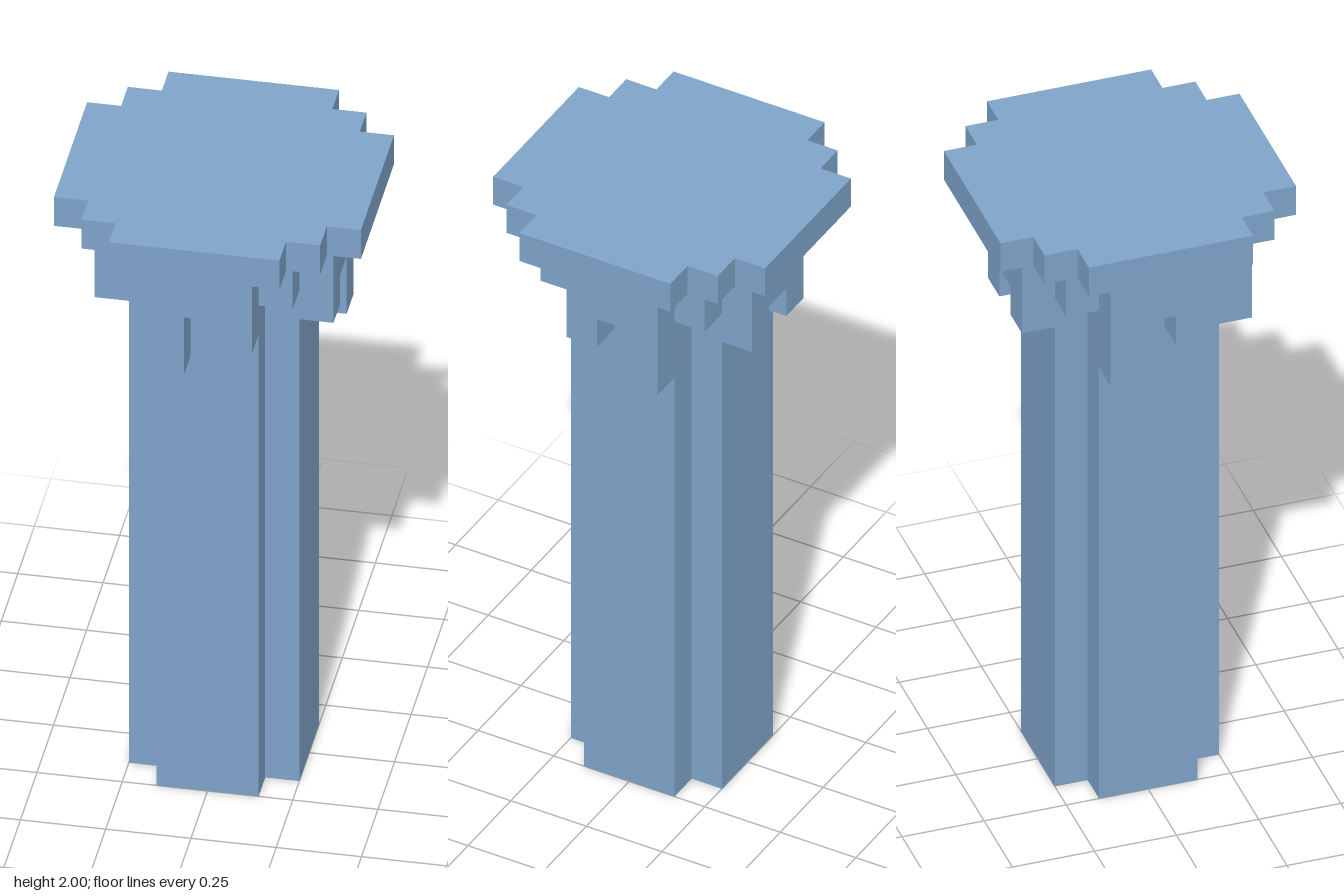
import * as THREE from 'three';

const stone = new THREE.MeshStandardMaterial({ color: 0x7ea3c9 });
stone.name = 'blue stone';

function add(parent, name, geometry) {
  const mesh = new THREE.Mesh(geometry, stone);
  mesh.name = name;
  parent.add(mesh);
  return mesh;
}

function extrude(points, depth) {
  const shape = new THREE.Shape(points.map(([x, y]) => new THREE.Vector2(x, y)));
  return new THREE.ExtrudeGeometry(shape, { depth, bevelEnabled: false });
}

// Upright prism whose plan is one stepped quarter outline, turned four times
function steppedPrism(quarter, y0, y1) {
  const points = [];
  for (let i = 0; i < 4; i++) {
    for (const [x, y] of quarter) {
      points.push([[x, y], [-y, x], [-x, -y], [y, -x]][i]);
    }
  }
  return extrude(points, y1 - y0).rotateX(-Math.PI / 2).translate(0, y0, 0);
}

export function createModel() {
  const group = new THREE.Group();
  group.name = 'column';

  // Shaft with notched corners, and the stepped slab on top
  add(group, 'shaft', steppedPrism([[0.25, 0.15], [0.15, 0.15], [0.15, 0.25]], 0, 1.9));
  add(group, 'capSlab', steppedPrism(
    [[0.45, 0.25], [0.35, 0.25], [0.35, 0.35], [0.25, 0.35], [0.25, 0.45]], 1.9, 2));

  // Collar blocks filling the shaft's corner notches
  for (const x of [-0.2, 0.2]) {
    for (const z of [-0.2, 0.2]) {
      add(group, 'collarCorner', new THREE.BoxGeometry(0.1, 0.2, 0.1)).position.set(x, 1.8, z);
    }
  }

  // Collar plates with two hanging teeth: [name, turn, left tooth end, right tooth end]
  const sides = [
    ['collarFront', 0, 1.5, 1.6],
    ['collarLeft', Math.PI / 2, 1.6, 1.5],
    ['collarBack', Math.PI, 1.6, 1.6],
    ['collarRight', -Math.PI / 2, 1.5, 1.6],
  ];
  for (const [name, turn, a, b] of sides) {
    const plate = extrude([
      [-0.15, a], [-0.05, a], [-0.05, 1.7], [0.05, 1.7],
      [0.05, b], [0.15, b], [0.15, 1.9], [-0.15, 1.9],
    ], 0.1).translate(0, 0, 0.25);
    add(group, name, plate).rotation.y = turn;
  }

  return group;
}
